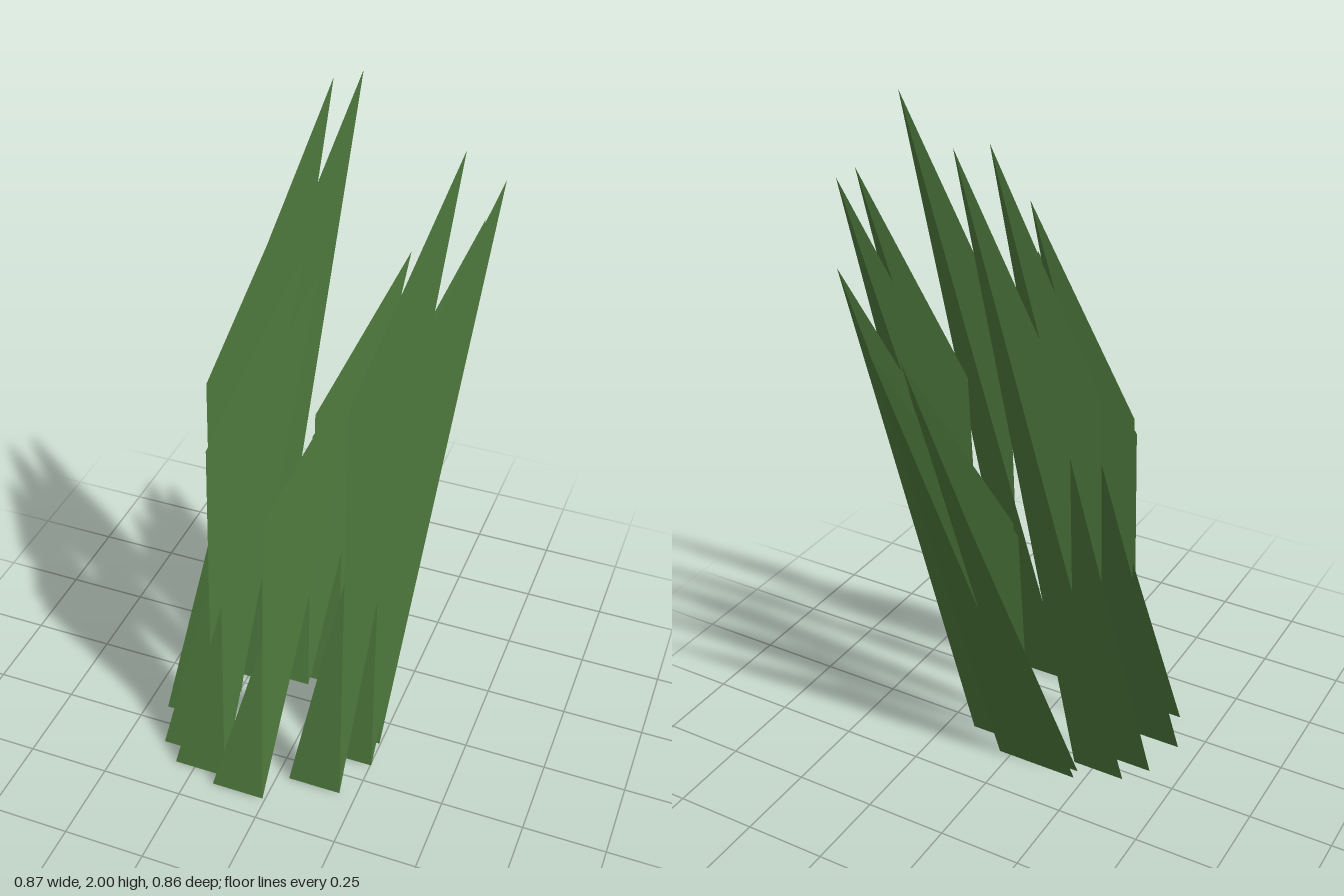
import * as THREE from 'three';

// One leaning blade: a tall triangle plus a folded flap sharing its right edge.
// The origin is the right corner of the foot.
function bladeGeometry(height) {
  const footLeft = [-0.163, 0, 0];
  const footRight = [0, 0, 0];
  const fold = [-0.042, 0.65 * height, -0.149];
  const tip = [0.181, height, -0.329];
  const geometry = new THREE.BufferGeometry();
  geometry.setAttribute('position', new THREE.Float32BufferAttribute(
    [footLeft, footRight, tip, fold, footRight, tip].flat(), 3));
  geometry.computeVertexNormals();
  return geometry;
}

export function createModel() {
  const group = new THREE.Group();
  group.name = 'grassTuft';
  const green = new THREE.MeshStandardMaterial({ color: 0x527f40, side: THREE.DoubleSide });
  green.name = 'grassGreen';

  // Ring of blades: foot x, foot z, height
  const blades = [
    [-0.188, -0.034, 2], [-0.057, -0.1, 1.45], [-0.054, -0.068, 1.36],
    [0.037, -0.1, 1.45], [0.168, -0.035, 1.63], [0.247, 0.091, 1.82],
    [0.253, 0.185, 1.82], [0.2, 0.323, 2], [-0.008, 0.426, 1.45],
    [-0.15, 0.386, 1.63], [-0.218, 0.323, 1.63], [-0.273, 0.185, 1.82],
    [-0.244, 0.04, 2],
  ];
  blades.forEach(([x, z, height], i) => {
    const blade = new THREE.Mesh(bladeGeometry(height), green);
    blade.name = `grassBlade${i + 1}`;
    blade.position.set(x, 0, z);
    group.add(blade);
  });
  return group;
}
